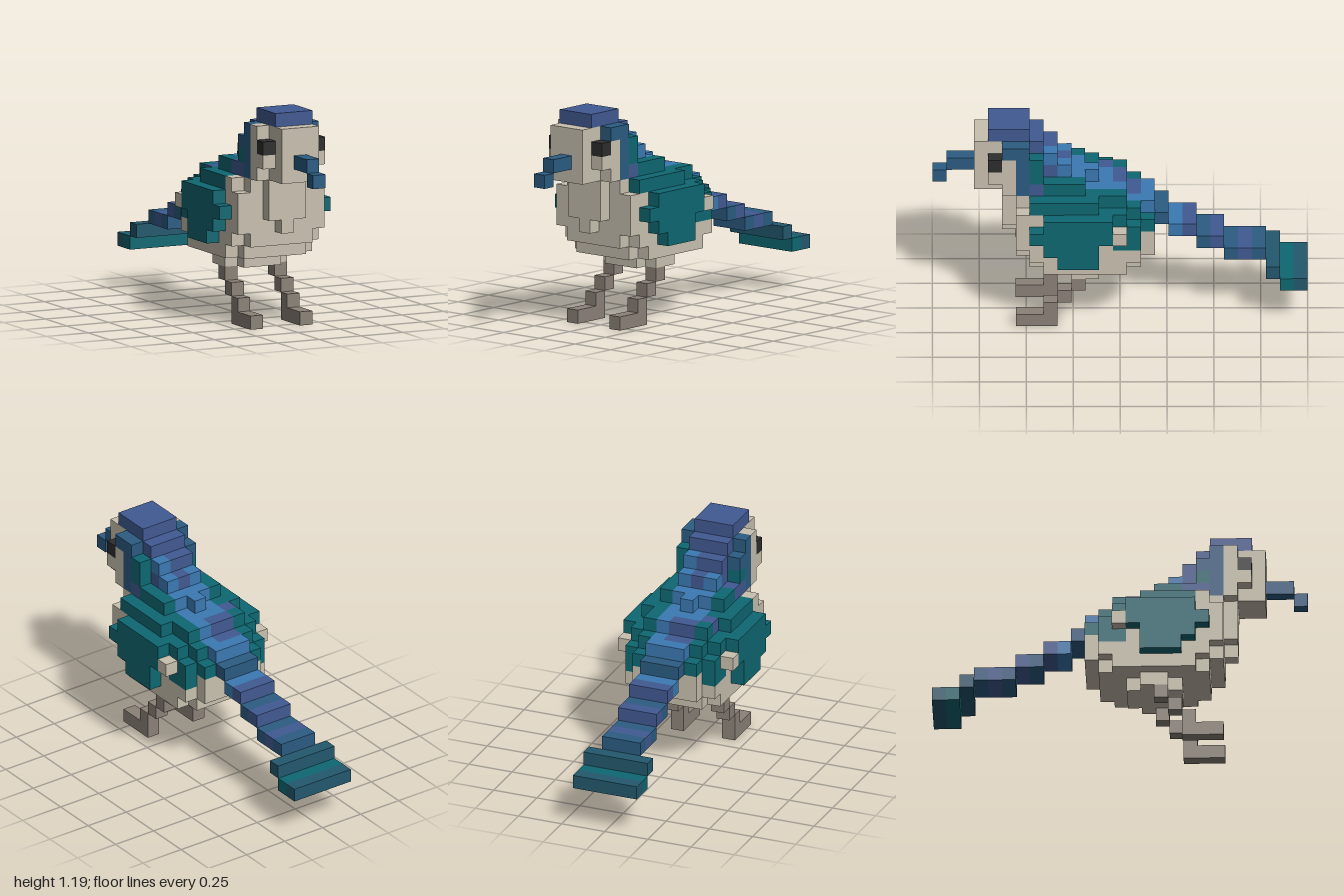
import * as THREE from 'three';

const U = 2 / 27; // cube size: 9 wide, 16 high, 27 long

const COLORS = {
  cream: 0xc9c1b0, teal: 0x0e6872, deepTeal: 0x23586d, navy: 0x2b5c82,
  sky: 0x3a79b2, indigo: 0x415a92, black: 0x2d2d2d, legGrey: 0x8b8278,
};

// The six cube faces: normal and two edge directions with u x v = normal
const FACES = [
  [[1, 0, 0], [0, 1, 0], [0, 0, 1]], [[-1, 0, 0], [0, 0, 1], [0, 1, 0]],
  [[0, 1, 0], [0, 0, 1], [1, 0, 0]], [[0, -1, 0], [1, 0, 0], [0, 0, 1]],
  [[0, 0, 1], [1, 0, 0], [0, 1, 0]], [[0, 0, -1], [0, 1, 0], [1, 0, 0]],
];

export function createModel() {
  const cells = new Map();
  const key = (x, y, f) => `${x},${y},${f}`;

  // Fill a block; f counts cubes from the beak tip to the tail tip. Later blocks repaint earlier ones.
  const fill = (part, color, x0, x1, y0, y1, f0, f1) => {
    for (let x = x0; x <= x1; x++)
      for (let y = y0; y <= y1; y++)
        for (let f = f0; f <= f1; f++) cells.set(key(x, y, f), { x, y, f, part, color });
  };
  const mid = (part, color, w, y0, y1, f0, f1) => fill(part, color, -w, w, y0, y1, f0, f1);
  const pair = (part, color, x, y0, y1, f0, f1) => {
    fill(part, color, x, x, y0, y1, f0, f1);
    fill(part, color, -x, -x, y0, y1, f0, f1);
  };

  // Belly and breast, from the bottom up
  mid('body', 'cream', 1, 4, 4, 9, 12);
  mid('body', 'cream', 2, 4, 4, 10, 11);
  mid('body', 'cream', 2, 5, 5, 7, 14);
  mid('body', 'cream', 3, 5, 5, 8, 13);
  mid('body', 'cream', 2, 6, 6, 6, 15);
  mid('body', 'cream', 3, 6, 6, 7, 14);
  mid('body', 'cream', 2, 7, 8, 6, 15);
  mid('body', 'cream', 3, 7, 8, 6, 14);
  mid('body', 'cream', 2, 9, 9, 6, 14);
  mid('body', 'cream', 3, 9, 9, 6, 13);
  mid('body', 'cream', 2, 10, 10, 6, 13);
  mid('body', 'cream', 1, 8, 10, 5, 5);
  mid('body', 'cream', 0, 7, 7, 5, 5);

  // Back feathers
  pair('back', 'teal', 2, 10, 10, 7, 13);
  pair('back', 'teal', 3, 10, 10, 7, 11);
  fill('body', 'cream', -3, -3, 10, 10, 7, 7);
  pair('back', 'teal', 3, 9, 9, 8, 13);
  pair('back', 'teal', 2, 9, 9, 14, 14);
  pair('back', 'teal', 3, 8, 8, 14, 14);
  pair('back', 'teal', 3, 7, 7, 13, 14);
  pair('back', 'teal', 2, 8, 8, 15, 15);
  mid('back', 'teal', 2, 11, 11, 8, 10);
  mid('back', 'sky', 1, 10, 10, 11, 13);
  mid('back', 'sky', 1, 9, 9, 14, 15);
  fill('back', 'indigo', -1, 0, 10, 10, 13, 13);
  fill('back', 'indigo', -1, 0, 9, 9, 14, 14);
  fill('back', 'indigo', -2, -2, 10, 10, 12, 12);
  mid('back', 'sky', 1, 11, 11, 10, 10);
  mid('back', 'sky', 0, 11, 11, 11, 11);

  // Wings
  pair('wing', 'teal', 4, 9, 9, 8, 12);
  pair('wing', 'teal', 4, 8, 8, 7, 12);
  pair('wing', 'teal', 4, 7, 7, 8, 11);
  pair('wing', 'teal', 4, 6, 6, 9, 11);
  pair('wing', 'cream', 4, 8, 8, 13, 13);

  // Head
  mid('head', 'cream', 1, 11, 14, 3, 6);
  mid('head', 'cream', 2, 12, 13, 4, 5);
  mid('head', 'cream', 2, 11, 11, 5, 5);
  pair('head', 'cream', 2, 14, 14, 5, 5);
  fill('head', 'navy', 2, 2, 14, 14, 5, 5);
  pair('head', 'navy', 2, 11, 14, 6, 6);
  mid('head', 'navy', 1, 11, 13, 7, 7);
  pair('head', 'teal', 2, 12, 13, 7, 7);
  pair('head', 'indigo', 2, 11, 11, 7, 7);
  fill('head', 'navy', -2, -2, 13, 13, 7, 7);
  fill('head', 'indigo', -2, -2, 11, 11, 8, 8);

  // Crest running down the nape
  mid('crest', 'indigo', 1, 15, 15, 4, 6);
  mid('crest', 'indigo', 1, 14, 14, 7, 7);
  mid('crest', 'indigo', 1, 12, 13, 8, 8);
  fill('crest', 'sky', 1, 1, 13, 13, 8, 8);
  mid('crest', 'sky', 1, 12, 12, 9, 9);
  mid('crest', 'indigo', 0, 12, 12, 9, 9);

  // Eyes, beak
  pair('eye', 'black', 2, 13, 13, 4, 4);
  mid('beak', 'navy', 0, 12, 12, 1, 2);
  mid('beak', 'navy', 0, 11, 11, 0, 0);

  // Stepped tail: colour, half width, height, position
  [['navy', 1, 8, 16], ['sky', 1, 7, 17], ['indigo', 1, 7, 18], ['navy', 1, 6, 19],
    ['indigo', 1, 6, 20], ['navy', 1, 5, 21], ['indigo', 1, 5, 22], ['navy', 1, 5, 23],
    ['deepTeal', 2, 4, 24], ['teal', 2, 3, 25], ['deepTeal', 2, 3, 26],
  ].forEach(([c, w, y, f]) => mid('tail', c, w, y, y, f, f));

  // Legs and feet
  for (let y = 1; y <= 3; y++) pair('leg', 'legGrey', 2, y, y, y + 7, y + 7);
  pair('foot', 'legGrey', 2, 0, 0, 6, 8);

  // Collect the exposed cube faces of each part and colour
  const parts = new Map();
  for (const c of cells.values()) {
    const id = `${c.part}|${c.color}`;
    if (!parts.has(id)) parts.set(id, { pos: [], nor: [] });
    const { pos, nor } = parts.get(id);
    const centre = [c.x, c.y + 0.5, 13 - c.f];
    for (const [n, u, v] of FACES) {
      if (cells.has(key(c.x + n[0], c.y + n[1], c.f - n[2]))) continue;
      for (const [a, b] of [[-1, -1], [1, -1], [1, 1], [-1, -1], [1, 1], [-1, 1]]) {
        for (let i = 0; i < 3; i++) pos.push((centre[i] + (n[i] + a * u[i] + b * v[i]) / 2) * U);
        nor.push(...n);
      }
    }
  }

  const materials = {};
  for (const [name, color] of Object.entries(COLORS)) {
    materials[name] = new THREE.MeshStandardMaterial({ color });
    materials[name].name = name;
  }

  const group = new THREE.Group();
  group.name = 'bird';
  for (const [id, { pos, nor }] of parts) {
    const [part, color] = id.split('|');
    const geo = new THREE.BufferGeometry();
    geo.setAttribute('position', new THREE.Float32BufferAttribute(pos, 3));
    geo.setAttribute('normal', new THREE.Float32BufferAttribute(nor, 3));
    const mesh = new THREE.Mesh(geo, materials[color]);
    mesh.name = part;
    group.add(mesh);
  }
  return group;
}
